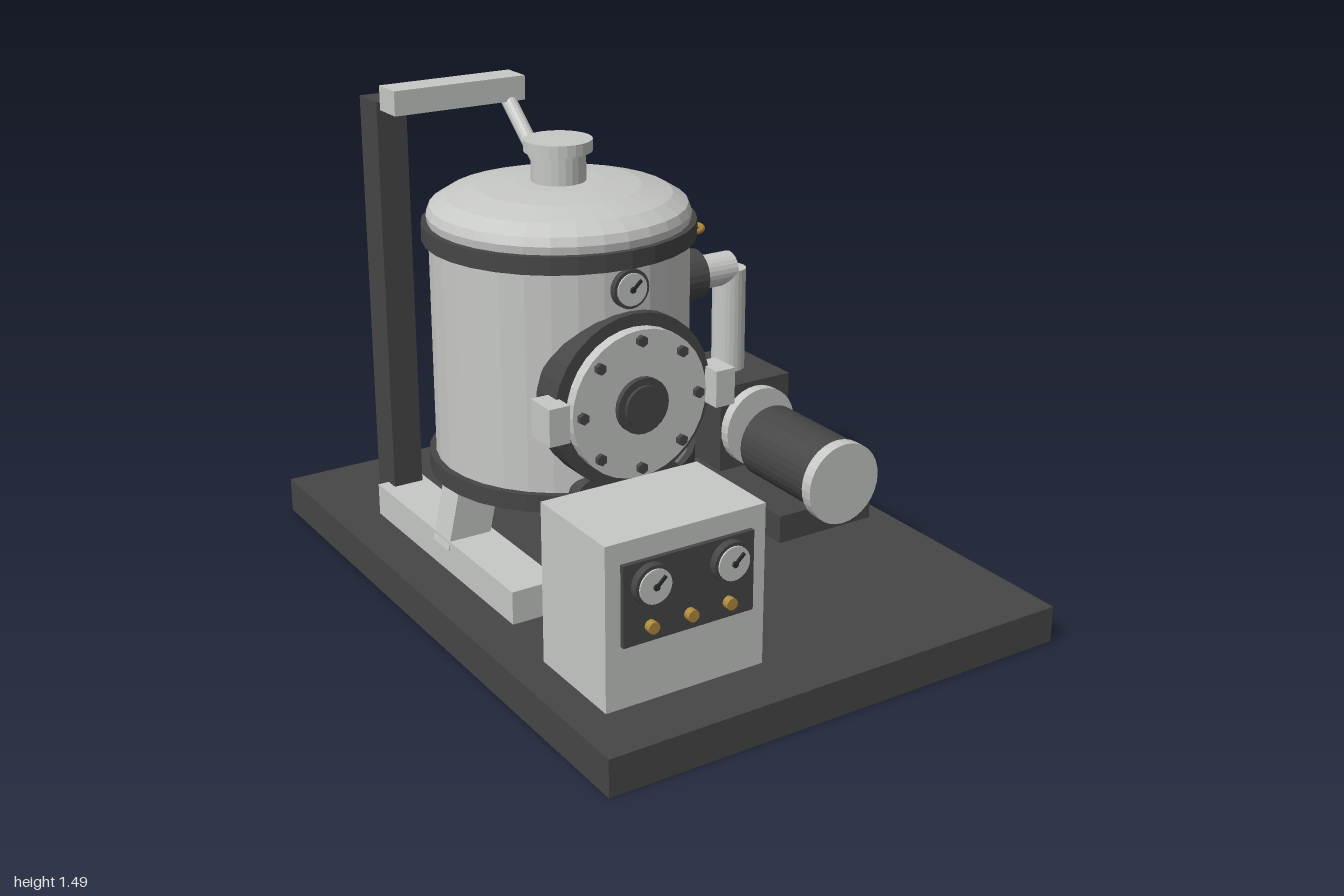
import * as THREE from 'three';

const paint = (name, color) => {
  const m = new THREE.MeshStandardMaterial({ color });
  m.name = name;
  return m;
};

export function createModel() {
  const model = new THREE.Group();
  model.name = 'processVesselSkid';
  const steel = paint('light steel', 0xc6c8c5);
  const dark = paint('dark iron', 0x464646);
  const black = paint('black', 0x2a2b2c);
  const brass = paint('brass', 0xb08a3c);
  const copper = paint('copper', 0x9c5c34);

  // Faceted surface
  const facet = (g) => {
    const f = g.index ? g.toNonIndexed() : g;
    f.computeVertexNormals();
    return f;
  };
  const add = (name, geo, mat, x = 0, y = 0, z = 0, parent = model) => {
    const m = new THREE.Mesh(geo, mat);
    m.name = name;
    m.position.set(x, y, z);
    parent.add(m);
    return m;
  };
  // Box given by its limits on each axis
  const box = (name, mat, [x0, x1], [y0, y1], [z0, z1]) =>
    add(name, new THREE.BoxGeometry(x1 - x0, y1 - y0, z1 - z0), mat,
      (x0 + x1) / 2, (y0 + y1) / 2, (z0 + z1) / 2);
  // Cylinder running between two points
  const rod = (name, mat, a, b, r, sides = 24, parent = model) => {
    const p = new THREE.Vector3(...a), q = new THREE.Vector3(...b);
    const d = q.clone().sub(p);
    const m = add(name, facet(new THREE.CylinderGeometry(r, r, d.length(), sides)), mat, 0, 0, 0, parent);
    m.position.copy(p).add(q).multiplyScalar(0.5);
    m.quaternion.setFromUnitVectors(new THREE.Vector3(0, 1, 0), d.normalize());
    return m;
  };
  const lathe = (name, mat, pts, x, z) =>
    add(name, facet(new THREE.LatheGeometry(pts.map((p) => new THREE.Vector2(...p)), 32)), mat, x, 0, z);

  // Base plate
  box('basePlate', dark, [-0.74, 0.74], [0, 0.11], [-1, 1]);

  // Vessel
  const tx = -0.19, tz = -0.16;
  rod('vesselBody', steel, [tx, 0.39, tz], [tx, 1.1, tz], 0.38, 32);
  rod('upperBand', dark, [tx, 1.07, tz], [tx, 1.122, tz], 0.4, 32);
  rod('lowerBand', dark, [tx, 0.365, tz], [tx, 0.418, tz], 0.4, 32);
  lathe('vesselLid', steel, [[0.38, 1.11], [0.385, 1.145], [0.375, 1.17], [0.33, 1.198],
    [0.24, 1.222], [0.13, 1.233], [0, 1.235]], tx, tz);
  lathe('vesselBottom', steel, [[0, 0.28], [0.13, 0.287], [0.25, 0.31], [0.34, 0.343], [0.38, 0.38]], tx, tz);
  rod('lidNeck', steel, [tx, 1.21, tz], [tx, 1.33, tz], 0.08);
  rod('neckCap', steel, [tx, 1.32, tz], [tx, 1.355, tz], 0.1);

  // Support rails and splayed legs
  for (const s of [-1, 1]) {
    const cx = tx + s * 0.34;
    box('supportRail', steel, [cx - 0.075, cx + 0.075], [0.11, 0.21], [-0.6, 0.27]);
    const leg = add('supportLeg', new THREE.BoxGeometry(0.13, 0.24, 0.1), steel, tx + s * 0.33, 0.285, tz);
    leg.rotation.z = s * 0.22;
  }

  // Hoist post, arm and stay
  box('hoistPost', dark, [-0.57, -0.475], [0.11, 1.43], [-0.67, -0.555]);
  box('hoistArm', steel, [-0.57, -0.145], [1.412, 1.485], [-0.53, -0.43]);
  rod('hoistStay', steel, [tx, 1.22, -0.22], [tx, 1.42, -0.46], 0.023, 16);

  // Round door with bolts, hub and side lugs
  const dy = 0.685;
  rod('doorRing', dark, [tx, dy, 0.14], [tx, dy, 0.245], 0.257, 32);
  rod('doorDisc', steel, [tx, dy, 0.24], [tx, dy, 0.28], 0.22, 32);
  rod('doorHub', dark, [tx, dy, 0.27], [tx, dy, 0.297], 0.083);
  rod('doorHubCentre', dark, [tx, dy, 0.29], [tx, dy, 0.307], 0.062);
  for (let i = 0; i < 8; i++) {
    const a = (i * Math.PI) / 4;
    const x = tx + 0.19 * Math.cos(a), y = dy + 0.19 * Math.sin(a);
    rod('doorBolt', dark, [x, y, 0.27], [x, y, 0.295], 0.017, 6);
  }
  for (const s of [-1, 1]) {
    const cx = tx + s * 0.273;
    box('doorLug', steel, [cx - 0.032, cx + 0.032], [0.63, 0.74], [0.2, 0.302]);
  }

  // Dial gauge: rim, face, needle
  const gauge = (x, y, z, r) => {
    const g = new THREE.Group();
    g.name = 'dialGauge';
    g.position.set(x, y, z);
    model.add(g);
    rod('gaugeRim', dark, [0, 0, -0.035], [0, 0, 0], r, 24, g);
    rod('gaugeFace', steel, [0, 0, 0], [0, 0, 0.005], r * 0.83, 24, g);
    const n = add('gaugeNeedle', new THREE.BoxGeometry(r * 0.8, r * 0.15, 0.006), black, r * 0.18, r * 0.16, 0.008, g);
    n.rotation.z = 0.75;
    rod('needlePivot', black, [0, 0, 0.005], [0, 0, 0.012], r * 0.15, 10, g);
  };
  gauge(tx, 1.01, 0.235, 0.057);

  // Copper drain pipes
  for (const s of [-1, 1]) {
    const x = tx + s * 0.128;
    rod('drainFlange', dark, [x, 0.415, 0.12], [x, 0.415, 0.225], 0.047);
    rod('drainPipe', copper, [x, 0.415, 0.2], [x, 0.415, 0.4], 0.022, 16);
    rod('drainSpout', copper, [x, 0.19, 0.4], [x, 0.415, 0.4], 0.022, 16);
    add('drainElbow', new THREE.SphereGeometry(0.022, 16, 10), copper, x, 0.415, 0.4);
  }

  // Control cabinet
  box('cabinet', steel, [-0.635, -0.145], [0.11, 0.58], [0.495, 0.815]);
  box('controlPanel', dark, [-0.59, -0.19], [0.29, 0.52], [0.81, 0.829]);
  for (const x of [-0.51, -0.27]) gauge(x, 0.455, 0.852, 0.058);
  for (const x of [-0.51, -0.39, -0.27]) rod('panelKnob', brass, [x, 0.335, 0.82], [x, 0.335, 0.85], 0.017, 16);

  // Rear power unit with vent slots
  box('powerUnit', dark, [-0.03, 0.37], [0.11, 0.585], [-0.855, -0.535]);
  for (const x of [0.05, 0.17, 0.29])
    box('ventSlot', black, [x - 0.011, x + 0.011], [0.27, 0.48], [-0.862, -0.854]);

  // Pump and motor
  box('pumpBase', dark, [0.33, 0.677], [0.11, 0.198], [-0.585, 0.25]);
  box('pumpBlock', dark, [0.37, 0.635], [0.19, 0.482], [-0.435, -0.13]);
  rod('pumpFlange', steel, [0.503, 0.335, -0.145], [0.503, 0.335, -0.095], 0.13, 32);
  rod('motorShaft', dark, [0.503, 0.31, -0.1], [0.503, 0.31, -0.03], 0.04);
  rod('motorBody', dark, [0.503, 0.307, -0.04], [0.503, 0.307, 0.297], 0.118, 32);
  rod('motorCap', steel, [0.503, 0.297, 0.295], [0.503, 0.297, 0.335], 0.13, 32);

  // Suction pipe
  const px = 0.503, py = 0.82, pz = -0.285;
  rod('suctionPipe', steel, [0.1, py, pz], [px, py, pz], 0.054);
  rod('downPipe', steel, [px, 0.47, pz], [px, py, pz], 0.054);

  // Valve with handwheel
  const vx = 0.325;
  rod('valveBody', dark, [vx - 0.05, py, pz], [vx + 0.05, py, pz], 0.081);
  rod('valveStem', brass, [vx, 0.89, pz], [vx, 0.98, pz], 0.015, 16);
  const wheel = add('handwheel', new THREE.TorusGeometry(0.06, 0.009, 8, 28), brass, vx, 0.977, pz);
  wheel.rotation.x = Math.PI / 2;
  rod('wheelSpoke', brass, [vx - 0.06, 0.977, pz], [vx + 0.06, 0.977, pz], 0.007, 8);
  rod('wheelSpoke', brass, [vx, 0.977, pz - 0.06], [vx, 0.977, pz + 0.06], 0.007, 8);

  return model;
}
